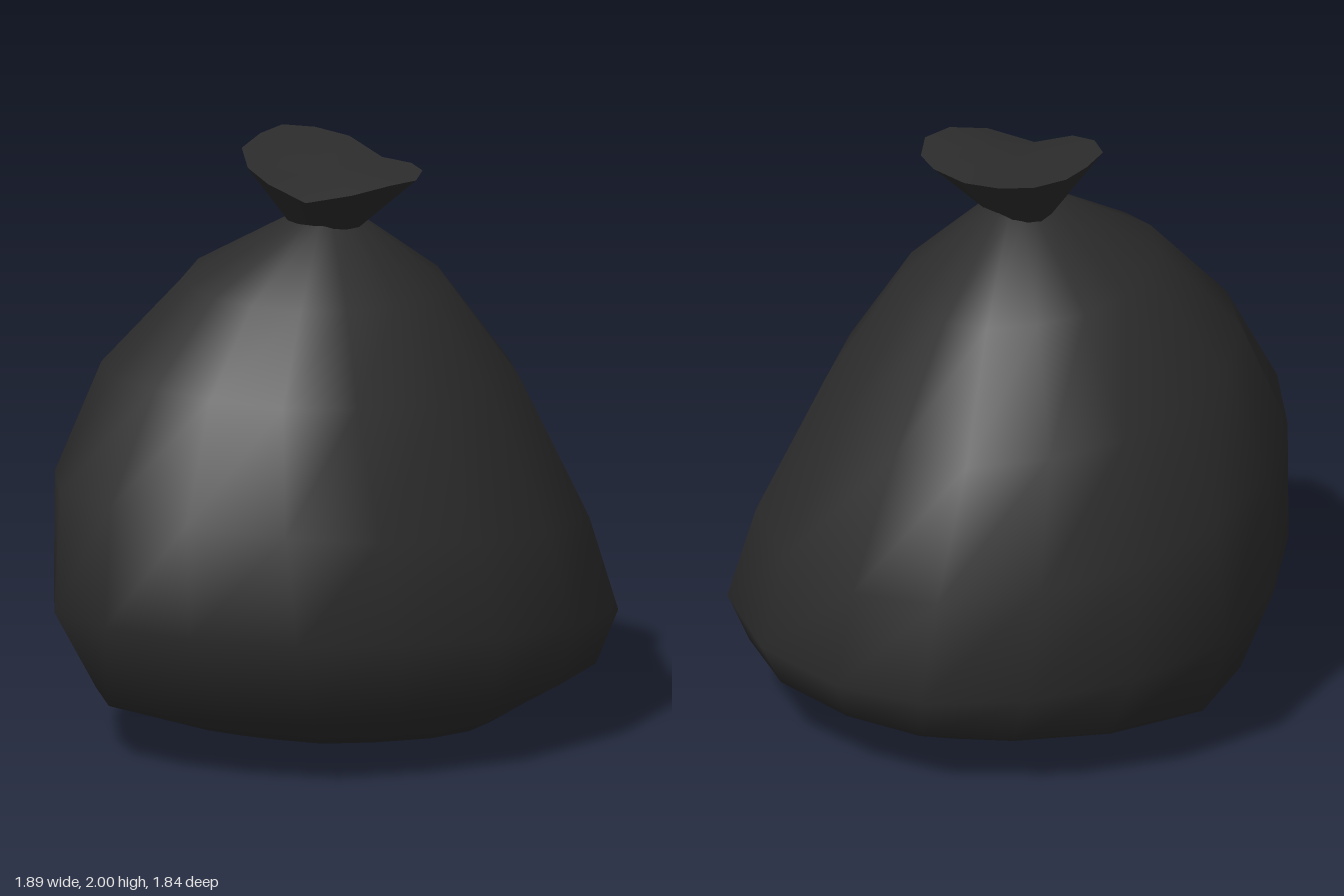
import * as THREE from 'three';

// Skin closed rings (bottom to top), with optional fan caps
function loft(rings, bottom, top) {
  const n = rings[0].length, pts = rings.flat(), idx = [];
  for (let r = 0; r < rings.length - 1; r++) {
    for (let i = 0; i < n; i++) {
      const j = (i + 1) % n;
      const a = r * n + i, c = r * n + j, b = a + n, d = c + n;
      idx.push(a, b, c, c, b, d);
    }
  }
  const last = (rings.length - 1) * n;
  if (bottom) {
    const k = pts.push(bottom) - 1;
    for (let i = 0; i < n; i++) idx.push(k, i, (i + 1) % n);
  }
  if (top) {
    const k = pts.push(top) - 1;
    for (let i = 0; i < n; i++) idx.push(k, last + (i + 1) % n, last + i);
  }
  const geo = new THREE.BufferGeometry();
  geo.setAttribute('position', new THREE.Float32BufferAttribute(pts.flat(), 3));
  geo.setIndex(idx);
  geo.computeVertexNormals();
  return geo;
}

// Swell or pinch an [x, z] outline on its four diagonals: [+x+z, +x-z, -x+z, -x-z]
function swell(outline, amounts) {
  return outline.map(([x, z]) => {
    const q = amounts[(x < 0 ? 2 : 0) + (z < 0 ? 1 : 0)];
    const k = 1 + q * (2 * x * z / (x * x + z * z)) ** 2;
    return [x * k, z * k];
  });
}

// Fit an [x, z] outline into the given extents, with a tilted height
function fit(outline, [y, x0, x1, z0, z1, tx = 0, tz = 0]) {
  const xs = outline.map(p => p[0]), zs = outline.map(p => p[1]);
  const map = (v, list, lo, hi) =>
    THREE.MathUtils.mapLinear(v, Math.min(...list), Math.max(...list), lo, hi);
  return outline.map(([px, pz]) => {
    const x = map(px, xs, x0, x1), z = map(pz, zs, z0, z1);
    return [x, y + tx * x + tz * z, z];
  });
}

export function createModel() {
  const group = new THREE.Group();
  const plastic = new THREE.MeshStandardMaterial({ color: 0x2d2d2d });
  plastic.name = 'black plastic';
  const add = (name, geo) => {
    const mesh = new THREE.Mesh(geo, plastic);
    mesh.name = name;
    group.add(mesh);
  };

  // Sagging sack: lopsided footprint, then rings of
  // [y, x extents, z extents, tilts] and diagonal swelling
  const footprint = [
    [0.05, -0.92], [0.4, -0.87], [0.66, -0.69], [0.87, -0.38], [0.94, 0], [0.76, 0.36],
    [0.5, 0.63], [0.16, 0.82], [-0.18, 0.91], [-0.53, 0.84], [-0.8, 0.67], [-0.95, 0.42],
    [-0.93, 0.05], [-0.84, -0.32], [-0.64, -0.65], [-0.31, -0.85],
  ];
  const sack = [
    [[0.045, -0.46, 0.52, -0.4, 0.48, -0.02, 0.06], [0.05, 0, -0.15, 0.08]],
    [[0.2, -0.79, 0.87, -0.76, 0.8, 0.03, 0.03], [0.05, -0.02, -0.09, 0.07]],
    [[0.45, -0.95, 0.945, -0.92, 0.92, -0.05, 0.055], [0, 0, 0, 0]],
    [[0.81, -0.93, 0.85, -0.89, 0.87, -0.11, 0.04], [0.03, 0.04, -0.03, -0.06]],
    [[1.23, -0.77, 0.62, -0.76, 0.7, -0.06, 0.04], [0.05, 0.1, -0.09, -0.09]],
    [[1.55, -0.49, 0.38, -0.48, 0.49, -0.06, -0.02], [0.06, 0.05, -0.03, -0.05]],
    [[1.765, -0.16, 0.09, -0.09, 0.19], [0, 0, 0, 0]],
  ];
  const rings = sack.map(([ring, amounts]) => fit(swell(footprint, amounts), ring));
  add('sack', loft(rings, [0.05, 0, 0.05], [-0.03, 1.77, 0.05]));

  // Flared, wavy mouth above the tied neck: [x, y, z] rim
  const rim = [
    [-0.15, 2, -0.29], [-0.04, 1.985, -0.31], [0.07, 1.965, -0.26], [0.17, 1.925, -0.12],
    [0.26, 1.93, -0.01], [0.29, 1.93, 0.1], [0.26, 1.93, 0.24], [0.17, 1.93, 0.31],
    [0.04, 1.905, 0.34], [-0.11, 1.87, 0.29], [-0.23, 1.92, 0.22], [-0.29, 1.95, 0.11],
    [-0.3, 1.98, -0.05], [-0.23, 1.995, -0.19],
  ];
  const neck = fit(rim.map(([x, , z]) => [x, z]), [1.75, -0.15, 0.09, -0.09, 0.18]);
  add('gatheredNeck', loft([neck, rim]));
  add('closedMouth', loft([rim], null, [-0.02, 1.93, 0.02]));

  return group;
}
